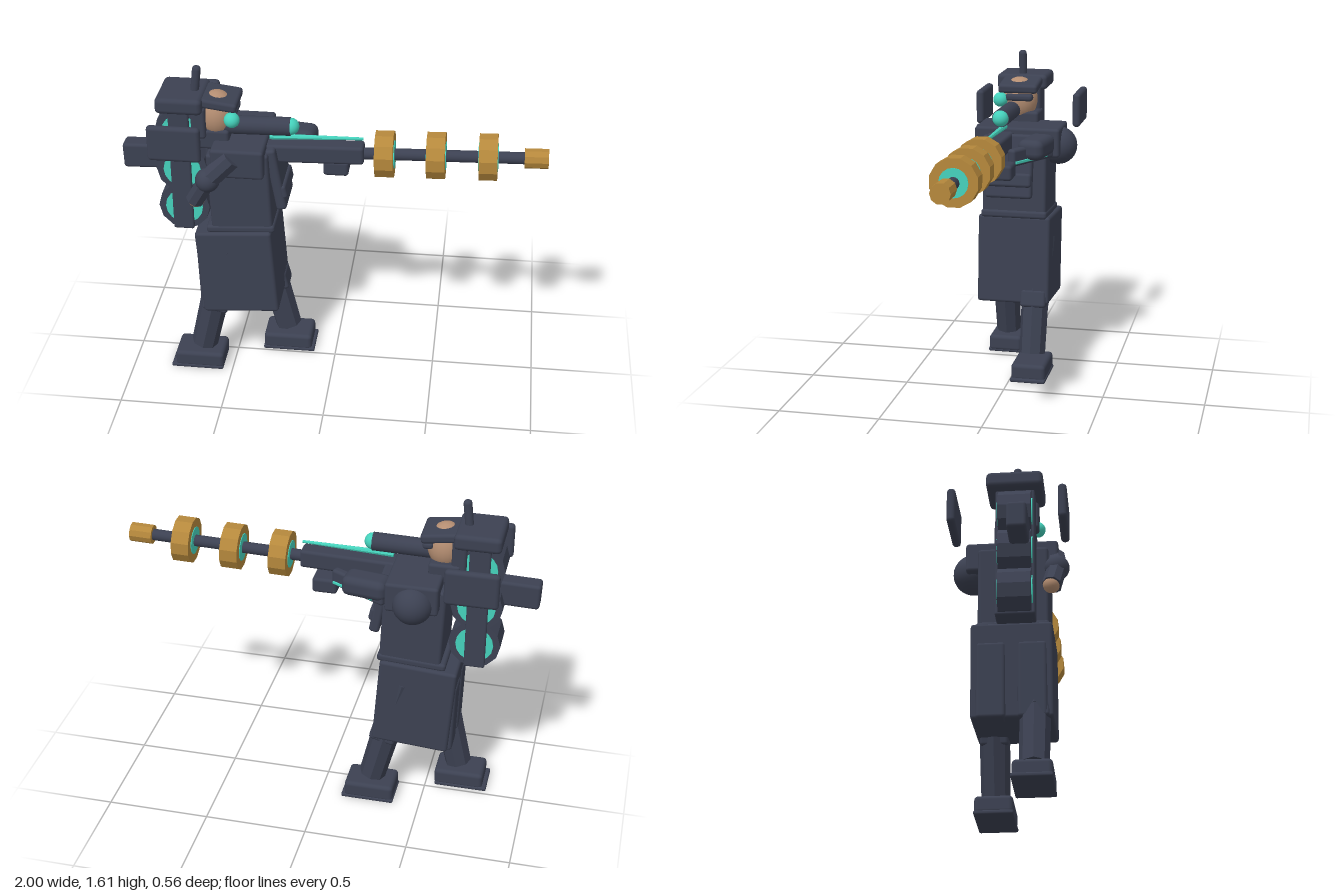
import * as THREE from 'three';
import { RoundedBoxGeometry } from 'three/addons/geometries/RoundedBoxGeometry.js';

const paint = (name, color) => Object.assign(new THREE.MeshStandardMaterial({ color }), { name });

export function createModel() {
  const navy = paint('navy cloth', 0x3c4152);
  const gold = paint('brass', 0xb5883c);
  const teal = paint('glowing teal', 0x45d2bc);
  const skin = paint('skin', 0xb58e72);
  const flat = (m) => m;
  const root = new THREE.Group();
  root.name = 'marksman';

  const add = (name, geo, mat, pos, rot = [0, 0, 0], parent = root) => {
    const m = new THREE.Mesh(geo, mat);
    m.name = name;
    m.position.set(...pos);
    m.rotation.set(...rot);
    parent.add(m);
    return m;
  };
  // Box with softened edges
  const box = (name, size, pos, rot, r = 0.015, mat = navy) =>
    add(name, new RoundedBoxGeometry(...size, 2, Math.min(r, ...size.map((s) => s * 0.45))), mat, pos, rot);
  const ball = (name, r, pos, mat = navy) => add(name, new THREE.SphereGeometry(r, 24, 16), mat, pos);
  // Faceted rod between two points
  const rod = (name, a, b, ra, rb, sides = 8, mat = navy, parent = root) => {
    const A = new THREE.Vector3(...a), B = new THREE.Vector3(...b);
    const d = B.clone().sub(A);
    let geo = new THREE.CylinderGeometry(rb, ra, d.length(), sides);
    if (sides < 16) { geo = geo.toNonIndexed(); geo.computeVertexNormals(); }
    const m = add(name, geo, flat(mat), A.add(B).multiplyScalar(0.5).toArray(), [0, 0, 0], parent);
    m.quaternion.setFromUnitVectors(new THREE.Vector3(0, 1, 0), d.normalize());
    return m;
  };

  // Legs: rear on +z, leading on -z
  const legs = [
    { side: 'rear', z: 0.108, foot: -0.665, tip: -0.012, ankle: [-0.65, 0.11], knee: [-0.585, 0.39], hip: [-0.5, 0.7] },
    { side: 'lead', z: -0.097, foot: -0.245, tip: 0.006, ankle: [-0.25, 0.115], knee: [-0.32, 0.4], hip: [-0.4, 0.7] },
  ];
  for (const l of legs) {
    box(l.side + 'Boot', [0.245, 0.085, 0.175], [l.foot, 0.048, l.z], undefined, 0.02);
    box(l.side + 'Sole', [0.262, 0.02, 0.18], [l.foot + l.tip, 0.01, l.z], undefined, 0.008);
    rod(l.side + 'Shin', [...l.ankle, l.z], [...l.knee, l.z], 0.066, 0.07);
    rod(l.side + 'Thigh', [...l.knee, l.z], [...l.hip, l.z], 0.07, 0.085);
    box(l.side + 'Knee', [0.13, 0.09, 0.13], [l.knee[0] + 0.01, l.knee[1] - 0.01, l.z], [0, 0, l.z > 0 ? -0.2 : 0.25]);
  }

  // Coat
  box('coatSkirt', [0.372, 0.45, 0.368], [-0.457, 0.585, 0.008], [0, 0, 0.07]);
  for (const z of [-0.085, 0.1]) box('coatTail', [0.08, 0.36, 0.13], [-0.612, 0.525, z], [0, 0, 0.03]);
  box('belt', [0.33, 0.04, 0.335], [-0.435, 0.825, 0.008], [0, 0, 0.06]);
  box('torso', [0.295, 0.4, 0.325], [-0.435, 1.025, 0.008], [0, 0, 0.04]);
  box('shoulderYoke', [0.25, 0.145, 0.43], [-0.435, 1.197, 0]);
  box('chestPlate', [0.05, 0.32, 0.235], [-0.265, 1.085, 0.025], [0, 0, 0.17]);
  box('chestPouch', [0.05, 0.07, 0.23], [-0.24, 1.02, 0.025], [0, 0, 0.2]);
  box('collar', [0.15, 0.1, 0.19], [-0.56, 1.27, 0.02]);

  // Arm on the +z side, bent back
  ball('leftElbow', 0.058, [-0.575, 1.11, 0.21]);
  rod('leftUpperArm', [-0.46, 1.225, 0.195], [-0.575, 1.11, 0.21], 0.052, 0.052);
  rod('leftForearm', [-0.575, 1.11, 0.21], [-0.645, 0.985, 0.19], 0.045, 0.045);
  ball('leftHand', 0.04, [-0.637, 0.992, 0.188], skin);

  // Arm on the -z side, reaching to the foregrip
  ball('rightShoulder', 0.095, [-0.44, 1.165, -0.19]);
  box('rightUpperArm', [0.22, 0.1, 0.13], [-0.21, 1.2, -0.12], [0, -0.15, 0], 0.035);
  const aim = [0, -0.5, 0];
  box('rightForearm', [0.31, 0.085, 0.045], [-0.17, 1.175, -0.1], aim);
  box('forearmGlow', [0.24, 0.014, 0.055], [-0.15, 1.153, -0.09], aim, 0.003, teal);
  box('foregrip', [0.12, 0.075, 0.115], [0.01, 1.122, 0.005]);

  // Head, hat and eyepiece
  const head = ball('head', 1, [-0.55, 1.375, 0.033], skin);
  head.scale.set(0.088, 0.113, 0.092);
  box('hatBack', [0.22, 0.078, 0.26], [-0.71, 1.452, 0.033], undefined, 0.022);
  box('hatBrim', [0.21, 0.045, 0.2], [-0.548, 1.452, 0.025], [0, 0, -0.13]);
  box('visor', [0.05, 0.035, 0.14], [-0.475, 1.395, 0.02]);
  box('headGuard', [0.07, 0.16, 0.2], [-0.625, 1.36, 0.033]);
  box('crest', [0.04, 0.14, 0.04], [-0.645, 1.542, 0.035], [0, 0, -0.12], 0.018);
  ball('eyepiece', 0.037, [-0.467, 1.382, 0.115], teal);

  // Side guards
  for (const s of [-1, 1]) box('sideGuard', [0.25, 0.175, 0.04], [-0.715, 1.315, s * 0.252], undefined, 0.02);

  // Power pack: three stacked drums behind a vertical strap
  const pz = 0.033;
  for (const y of [0.9, 1.1, 1.3]) {
    rod('packDrum', [-0.715, y, pz - 0.075], [-0.715, y, pz + 0.075], 0.123, 0.123, 12);
    rod('packGlow', [-0.715, y, pz - 0.08], [-0.715, y, pz + 0.08], 0.09, 0.09, 16, teal);
  }
  box('packStrap', [0.1, 0.64, 0.18], [-0.72, 1.1, pz], undefined, 0.01);

  // Long rifle
  const gz = 0.058;
  const axisY = (x) => 1.211 + 0.029 * x;
  const along = (name, x0, x1, r, sides, mat) =>
    rod(name, [x0, axisY(x0), gz], [x1, axisY(x1), gz], r, r, sides, mat);
  box('stock', [0.31, 0.125, 0.09], [-0.845, 1.157, gz], [0, 0, 0.03]);
  box('receiver', [0.75, 0.09, 0.09], [-0.23, 1.207, gz], [0, 0, 0.03]);
  along('barrel', 0.1, 0.92, 0.028, 16, navy);
  along('muzzle', 0.888, 0.998, 0.047, 10, gold);
  const ringShape = new THREE.Shape();
  const hole = new THREE.Path();
  const N = 12;
  for (let i = 0; i < N; i++) {
    const a = ((i + 0.5) / N) * Math.PI * 2, c = Math.cos(a), s = Math.sin(a);
    const step = i ? 'lineTo' : 'moveTo';
    ringShape[step](0.112 * c, 0.112 * s);
    hole[step](0.066 * c, -0.066 * s);
  }
  ringShape.closePath();
  hole.closePath();
  ringShape.holes.push(hole);
  const ringGeo = new THREE.ExtrudeGeometry(ringShape, { depth: 0.086, bevelEnabled: false });
  ringGeo.translate(0, 0, -0.043);
  ringGeo.rotateY(Math.PI / 2);
  for (const x of [0.242, 0.481, 0.722]) {
    add('coilRing', ringGeo, gold, [x, axisY(x), gz], [0, 0, 0.029]);
    along('coilGlow', x - 0.046, x + 0.046, 0.067, 16, teal);
  }

  // Scope and its beam
  rod('scope', [-0.56, 1.328, gz], [-0.2, 1.335, gz], 0.044, 0.044, 16);
  ball('scopeLens', 0.04, [-0.2, 1.336, gz], teal);
  rod('beam', [-0.3, 1.278, gz], [0.14, 1.291, gz], 0.015, 0.007, 8, teal);

  return root;
}
